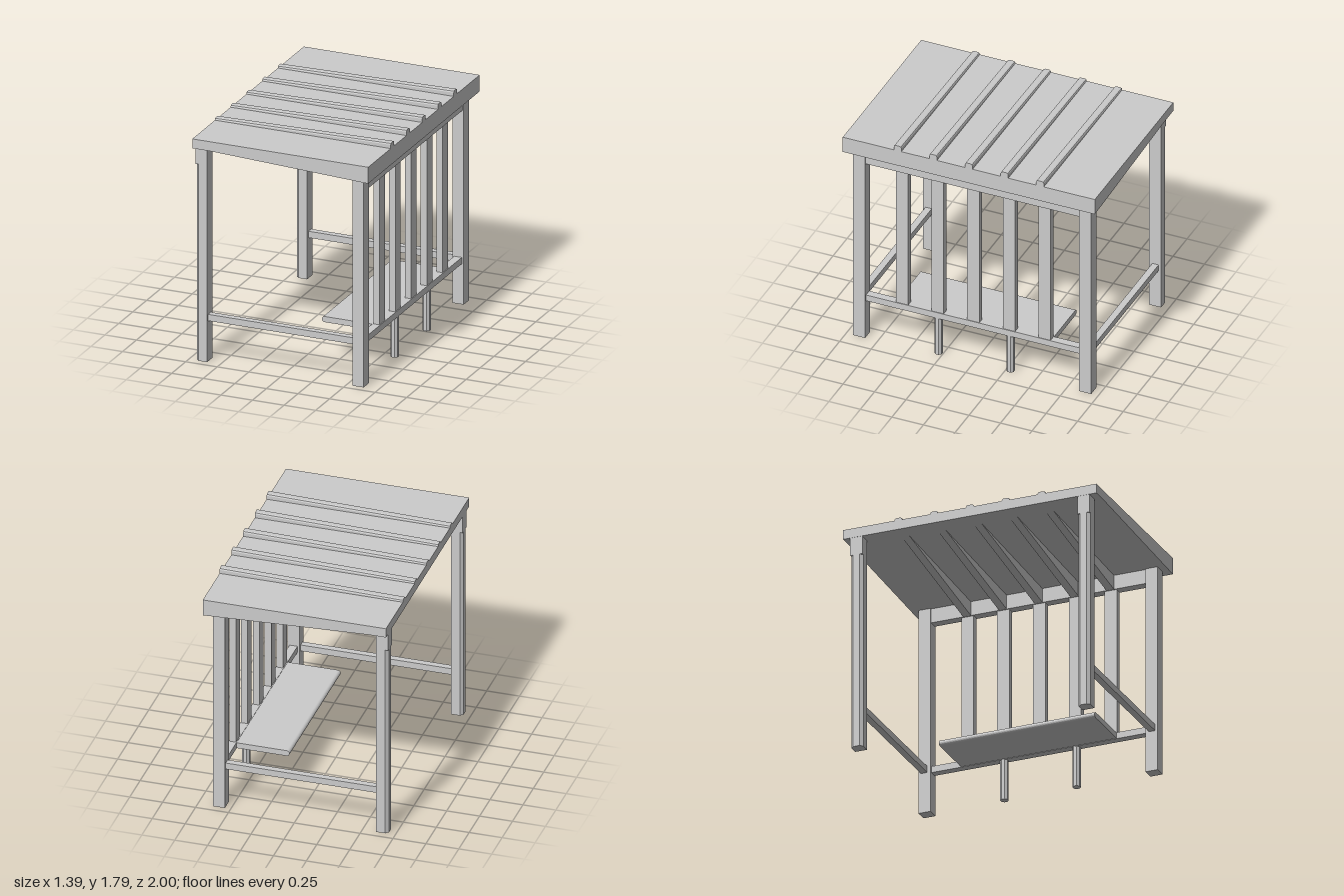
import * as THREE from 'three';

const mat = new THREE.MeshStandardMaterial({ color: 0xcccccc, flatShading: true });

export function createModel() {
  const model = new THREE.Group();

  function add(name, geometry, x = 0, y = 0, z = 0) {
    const mesh = new THREE.Mesh(geometry, mat);
    mesh.name = name;
    mesh.position.set(x, y, z);
    model.add(mesh);
    return mesh;
  }
  // box given by its centre in x and z and its bottom and top
  function box(name, w, d, y0, y1, x, z) {
    return add(name, new THREE.BoxGeometry(w, y1 - y0, d), x, (y0 + y1) / 2, z);
  }
  // side outline in x and y, extruded along z and centred on zc
  function profile(name, points, depth, zc) {
    const shape = new THREE.Shape(points.map(([x, y]) => new THREE.Vector2(x, y)));
    const geometry = new THREE.ExtrudeGeometry(shape, { depth, bevelEnabled: false });
    return add(name, geometry, 0, 0, zc - depth / 2);
  }

  const bays = [-0.565, -0.283, 0, 0.283, 0.565];

  // wedge-shaped roof slab
  profile('roof', [[-0.697, 1.67], [-0.56, 1.67], [0.695, 1.615], [0.695, 1.743], [-0.697, 1.743]], 2, 0);

  // rounded ribs rising slightly to the right side, and tapered rafters below
  for (const z of bays) {
    const w = 0.03, c = 0.014;
    const shape = new THREE.Shape([
      [-w, -0.05], [w, -0.05], [w, -c], [w - 0.004, -0.004], [w - c, 0],
      [-w + c, 0], [-w + 0.004, -0.004], [-w, -c],
    ].map(([a, b]) => new THREE.Vector2(a, b)));
    const rib = new THREE.ExtrudeGeometry(shape, { depth: 1.392, bevelEnabled: false });
    rib.rotateY(Math.PI / 2).translate(-0.697, 0, 0);
    const p = rib.attributes.position;
    for (let i = 0; i < p.count; i++) {
      p.setY(i, p.getY(i) + 1.773 + 0.018 * p.getX(i));
    }
    rib.computeVertexNormals();
    add('roofRib', rib, 0, 0, z);
    profile('rafter', [[-0.58, 1.672], [0.56, 1.51], [0.56, 1.63], [-0.56, 1.68]], 0.06, z);
  }

  // corner posts; the left-hand pair has stopped chamfers on the outer edges
  for (const s of [-1, 1]) {
    box('cornerPost', 0.09, 0.095, 0, 1.625, 0.59, s * 0.897);
    box('postHead', 0.09, 0.095, 1.53, 1.672, -0.65, s * 0.897);
    const c = 0.022;
    const section = new THREE.Shape([
      [-0.045 + c, -0.0475], [0.045, -0.0475], [0.045, 0.0475],
      [-0.045 + c, 0.0475], [-0.045, 0.0475 - c], [-0.045, -0.0475 + c],
    ].map(([a, b]) => new THREE.Vector2(a, b)));
    const shaft = new THREE.ExtrudeGeometry(section, { depth: 1.53, bevelEnabled: false });
    shaft.rotateX(-Math.PI / 2);
    add('chamferedPost', shaft, -0.65, 0, s * 0.897);

    // low rail across each end
    box('endRail', 1.16, 0.05, 0.315, 0.365, -0.03, s * 0.9);
  }

  // slatted side: header, slats and low rail
  box('header', 0.07, 1.72, 1.51, 1.625, 0.59, 0);
  box('sideRail', 0.06, 1.72, 0.315, 0.365, 0.59, 0);
  for (const z of bays) box('slat', 0.05, 0.097, 0.36, 1.52, 0.59, z);

  // bench with a rounded outer edge
  const seat = new THREE.Shape();
  seat.moveTo(0.575, 0.318);
  seat.lineTo(0.575, 0.362);
  seat.lineTo(0.18, 0.362);
  seat.absarc(0.18, 0.34, 0.022, Math.PI / 2, Math.PI * 1.5, false);
  const seatGeometry = new THREE.ExtrudeGeometry(seat, { depth: 1.23, bevelEnabled: false, curveSegments: 8 });
  add('benchSeat', seatGeometry, 0, 0, -0.615);

  // eight-sided bench legs under the rail
  for (const z of [-0.285, 0.285]) {
    const leg = new THREE.CylinderGeometry(0.031, 0.031, 0.315, 8).rotateY(Math.PI / 8);
    add('benchLeg', leg, 0.59, 0.1575, z);
  }
  return model;
}
